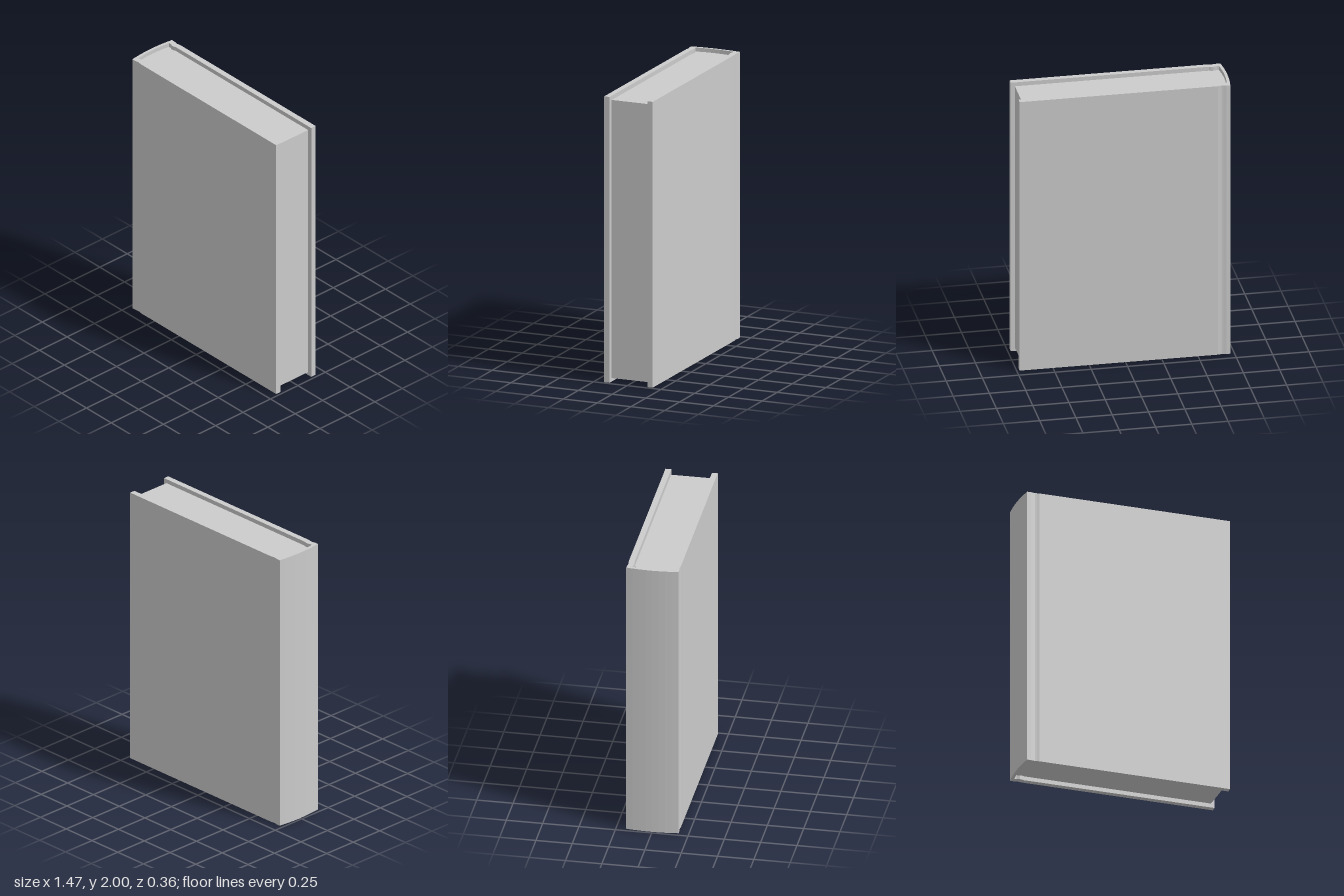
import * as THREE from 'three';

const material = new THREE.MeshStandardMaterial({ color: 0xcccccc });

// Mirrors a half outline (z >= 0, ordered towards the spine centre) across z = 0
function mirrored(half) {
  const back = half.filter(([, z]) => z > 0).reverse().map(([x, z]) => [x, -z]);
  return [...half, ...back];
}

// Shallow rounded spine, from its edge to the centre line
function spineArc(edgeX, centreX, halfZ, steps = 4) {
  const points = [];
  for (let i = 0; i <= steps; i++) {
    const t = 1 - i / steps;
    points.push([centreX + (edgeX - centreX) * t * t, halfZ * t]);
  }
  return points;
}

// Extrudes a plan outline in x, z upwards from y0 to y1
function upright(name, outline, y0, y1) {
  const shape = new THREE.Shape(outline.map(([x, z]) => new THREE.Vector2(x, -z)));
  const geometry = new THREE.ExtrudeGeometry(shape, { depth: y1 - y0, bevelEnabled: false });
  geometry.rotateX(-Math.PI / 2).translate(0, y0, 0);
  const mesh = new THREE.Mesh(geometry, material);
  mesh.name = name;
  return mesh;
}

export function createModel() {
  const book = new THREE.Group();
  book.name = 'book';

  // Hard cover: two boards with hinge grooves, joined by the curved spine
  const outer = mirrored([
    [0.73, 0.18], [-0.635, 0.18], [-0.65, 0.177], [-0.665, 0.175], [-0.68, 0.177], [-0.695, 0.18],
    ...spineArc(-0.722, -0.735, 0.18),
  ]);
  const inner = mirrored([
    [0.73, 0.14], [-0.635, 0.14], [-0.65, 0.135], [-0.665, 0.133], [-0.68, 0.137], [-0.69, 0.14],
    ...spineArc(-0.704, -0.715, 0.14),
  ]);
  book.add(upright('cover', [...outer, ...inner.reverse()], 0, 2));

  // Page block, set back from the cover edges
  const pages = mirrored([
    [0.702, 0.136], [-0.635, 0.136], [-0.65, 0.131], [-0.665, 0.129], [-0.68, 0.133], [-0.69, 0.136],
    ...spineArc(-0.703, -0.714, 0.136),
  ]);
  book.add(upright('pages', pages, 0.027, 1.973));

  return book;
}
